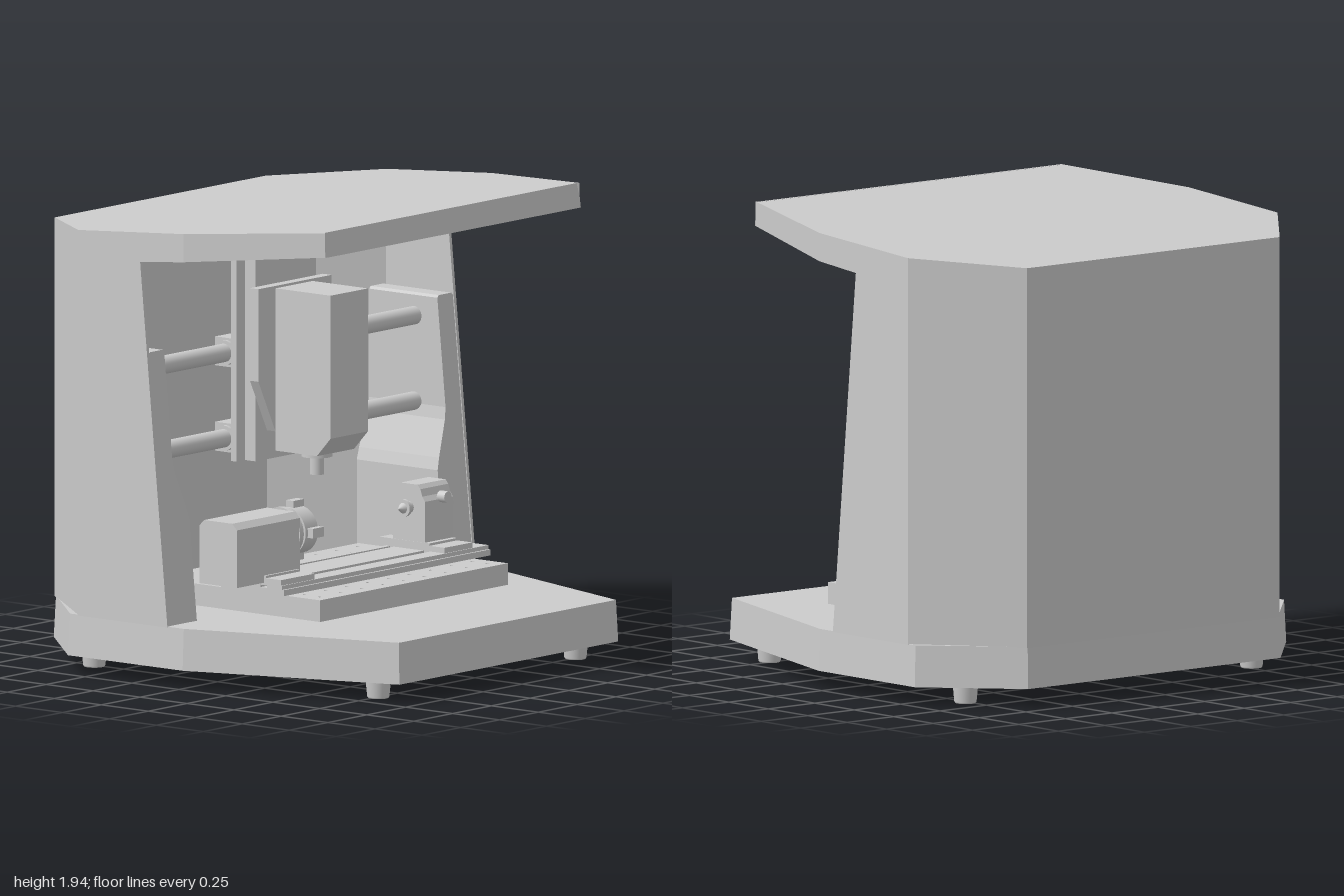
import * as THREE from 'three';

const mat = new THREE.MeshStandardMaterial({ color: 0xcccccc, side: THREE.DoubleSide });

export function createModel() {
  const root = new THREE.Group();

  function add(name, geo, x = 0, y = 0, z = 0) {
    const m = new THREE.Mesh(geo, mat);
    m.name = name;
    m.position.set(x, y, z);
    root.add(m);
    return m;
  }
  // Box given by its limits
  const box = (name, x0, x1, y0, y1, z0, z1) =>
    add(name, new THREE.BoxGeometry(x1 - x0, y1 - y0, z1 - z0),
      (x0 + x1) / 2, (y0 + y1) / 2, (z0 + z1) / 2);
  // Round bar along x, from x0 (radius r0) to x1 (radius r1)
  const barX = (name, x0, x1, y, z, r0, r1 = r0) =>
    add(name, new THREE.CylinderGeometry(r1, r0, x1 - x0, 32).rotateZ(-Math.PI / 2), (x0 + x1) / 2, y, z);
  // Round bar along y
  const barY = (name, y0, y1, x, z, r0, r1 = r0) =>
    add(name, new THREE.CylinderGeometry(r1, r0, y1 - y0, 32), x, (y0 + y1) / 2, z);
  // Plan outline [x, z] raised between two heights that may depend on z
  function prism(name, plan, lo, hi, { holes = [], r = 0.008, warp } = {}) {
    const s = new THREE.Shape(plan.map(([x, z]) => new THREE.Vector2(x, -z)));
    for (const [x, z] of holes) s.holes.push(new THREE.Path().absarc(x, -z, r, 0, Math.PI * 2, true));
    const g = new THREE.ExtrudeGeometry(s, { depth: 1, bevelEnabled: false, curveSegments: 4 }).rotateX(-Math.PI / 2);
    const p = g.attributes.position, v = new THREE.Vector3();
    for (let i = 0; i < p.count; i++) {
      v.fromBufferAttribute(p, i);
      const top = v.y > 0.5;
      v.y = top ? hi(v.z) : lo(v.z);
      if (warp) warp(v, top);
      p.setXYZ(i, v.x, v.y, v.z);
    }
    g.computeVertexNormals();
    return add(name, g);
  }
  // Side profile [z, y] extruded along x
  function profileX(name, pts, x0, x1) {
    const s = new THREE.Shape(pts.map(([z, y]) => new THREE.Vector2(-z, y)));
    const g = new THREE.ExtrudeGeometry(s, { depth: x1 - x0, bevelEnabled: false }).rotateY(Math.PI / 2);
    return add(name, g, x0);
  }
  // Front profile [x, y] extruded along z
  const profileZ = (name, pts, z0, z1) => add(name, new THREE.ExtrudeGeometry(
    new THREE.Shape(pts.map(([x, y]) => new THREE.Vector2(x, y))), { depth: z1 - z0, bevelEnabled: false }), 0, 0, z0);
  const mirrorPlan = half => [...half, ...half.map(([x, z]) => [-x, z]).reverse()];

  const c = y => () => y;
  const roofTop = z => 1.94 - (0.62 - z) * 0.0745;
  const skirtLow = z => 1.755 + (z + 0.21) * 0.1;
  const frontEdge = y => -0.065 - (y - 0.25) * 0.0965;

  // Base with a slight draft
  prism('base', mirrorPlan([[0.68, -0.93], [1, -0.59], [1, 0.02], [0.705, 0.93]]), c(0.08), c(0.253),
    { warp: (v, top) => { if (top) { v.x *= 0.992; v.z *= 0.992; } } });
  for (const s of [-1, 1])
    for (const [x, z] of [[0.635, 0.76], [0.77, -0.64]]) {
      const profile = [[0, 0.02], [0.018, 0.02], [0.018, 0], [0.042, 0], [0.046, 0.006], [0.053, 0.08]];
      add('foot', new THREE.LatheGeometry(profile.map(q => new THREE.Vector2(...q)), 24), s * x, 0, z);
    }

  // Thin cabinet walls
  const t = 0.985;
  const strip = (a, b) => [a, b, [b[0] * t, b[1] * t], [a[0] * t, a[1] * t]];
  const A = [0.68, -0.925], B = [0.995, -0.54], C = [0.995, 0.02], D = [0.82, 0.63];
  const flip = ([x, z], s) => [x * s, z];
  prism('backWall', strip(A, [-0.68, -0.925]), c(0.25), roofTop);
  for (const s of [-1, 1]) {
    prism('cornerWall', strip(flip(A, s), flip(B, s)), c(0.25), roofTop);
    prism('sideWall', [[s * 0.995, -0.54], [s * 0.995, -0.1], [s * 0.98, -0.1], [s * 0.98, -0.54]], c(0.25), c(1.76),
      { warp: (v, top) => { if (v.z > -0.3) v.z = frontEdge(v.y); else if (top) v.y = roofTop(v.z); } });
    prism('roofSkirt', [[s * 0.995, -0.54], [s * 0.995, 0.02], [s * 0.98, 0.02], [s * 0.98, -0.54]], skirtLow, roofTop);
    prism('roofSkirtFront', strip(flip(C, s), flip(D, s)), skirtLow, roofTop);
  }
  prism('roofLip', strip(D, [-0.82, 0.63]), skirtLow, roofTop,
    { warp: (v, top) => { v.z += top ? -0.008 : 0.006; } });
  prism('roof', mirrorPlan([A, B, C, [0.82, 0.622]]), z => roofTop(z) - 0.015, roofTop);

  // Inner side supports, front face following the sloped wall edge
  for (const s of [-1, 1]) {
    const m = profileZ('sideSupport', [[0.98, 0.25], [0.8, 0.25], [0.8, 0.67], [0.815, 0.72], [0.87, 0.87],
      [0.88, 0.92], [0.88, 1.37], [0.89, 1.38], [0.97, 1.38], [0.98, 1.37]].map(q => flip(q, s)), 0, 1);
    const p = m.geometry.attributes.position;
    for (let i = 0; i < p.count; i++) p.setZ(i, p.getZ(i) > 0.5 ? frontEdge(p.getY(i)) - 0.004 : -0.54);
    m.geometry.computeVertexNormals();
  }

  // Cross rails and carriage
  for (const y of [1.285, 0.93]) {
    barX('crossRail', -0.885, 0.885, y, -0.3, 0.038);
    box('railBearing', -0.33, 0.13, y - 0.06, y + 0.06, -0.36, -0.26);
    barX('bearingRing', -0.345, 0.145, y, -0.3, 0.052);
  }
  box('carriagePlate', -0.35, 0.155, 0.84, 1.77, -0.26, -0.23);
  box('verticalSlide', -0.295, 0.097, 0.84, 1.77, -0.23, -0.175);
  profileZ('headPlate', [[-0.33, 1.565], [-0.33, 1.18], [-0.22, 0.96], [0.02, 0.96], [0.14, 1.18], [0.14, 1.565]], -0.175, -0.13);

  // Spindle head
  profileX('spindleHead', [[-0.13, 0.88], [0.09, 0.88], [0.163, 0.96], [0.163, 1.555], [-0.13, 1.555]], -0.22, 0.02);
  barY('spindleCollar', 0.855, 0.885, -0.098, -0.01, 0.064);
  barY('spindleTool', 0.78, 0.86, -0.098, -0.01, 0.029);

  // Work table with a hole grid
  const holes = [];
  for (const z of [0.37, 0.29, -0.14, -0.24, -0.32])
    for (let i = -4; i <= 4; i++) holes.push([i * 0.135, z]);
  prism('workTable', [[-0.605, 0.425], [0.605, 0.425], [0.605, -0.37], [-0.605, -0.37]], c(0.275), c(0.365), { holes });
  box('tablePedestal', -0.5, 0.5, 0.25, 0.28, -0.34, 0.3);
  box('toolSensor', 0.62, 0.69, 0.25, 0.4, -0.27, -0.2);

  // Rotary axis bed
  box('axisBed', -0.62, 0.71, 0.365, 0.39, -0.09, 0.245);
  for (const z of [[0.155, 0.235], [-0.04, 0.12], [-0.085, -0.06]])
    box('axisBedRib', -0.62, 0.71, 0.385, 0.407, z[0], z[1]);

  // Headstock and tailstock share one body profile
  const ay = 0.58, az = 0.04;
  const body = low => [[0.125, low], [0.125, 0.61], [0.11, 0.63], [0.1, 0.66], [0.085, 0.677], [-0.005, 0.677],
    [-0.02, 0.66], [-0.03, 0.63], [-0.045, 0.61], [-0.045, low]];
  profileX('headstock', [[0.14, 0.41], [0.14, 0.65], [0.115, 0.675], [-0.035, 0.675], [-0.06, 0.65], [-0.06, 0.41]], -0.795, -0.39);
  profileX('tailstock', body(0.43), 0.435, 0.615);
  for (const [x0, x1] of [[-0.62, -0.405], [0.433, 0.612]]) {
    box('stockFoot', x0, x1, 0.4, 0.44, -0.072, 0.15);
    box('footClamp', x0, x1, 0.4, 0.43, 0.15, 0.23);
  }

  // Four-jaw chuck
  barX('chuckFlange', -0.395, -0.37, ay, az, 0.105);
  barX('chuckNeck', -0.37, -0.35, ay, az, 0.085);
  barX('chuckBody', -0.35, -0.27, ay, az, 0.098);
  for (let i = 0; i < 4; i++) {
    const jaw = new THREE.Group();
    jaw.name = 'chuckJaw';
    for (const [x0, x1, r0, r1] of [[-0.335, -0.265, 0.05, 0.125], [-0.27, -0.245, 0.035, 0.085], [-0.25, -0.225, 0.02, 0.045]]) {
      const step = box('jawStep', x0, x1, r0, r1, -0.02, 0.02);
      jaw.add(step);
    }
    jaw.position.set(0, ay, az);
    jaw.rotation.x = i * Math.PI / 2;
    root.add(jaw);
  }

  // Tailstock centre, handwheel and locking knob
  barX('centreSleeve', 0.405, 0.44, ay, az, 0.025);
  barX('centreNut', 0.395, 0.41, ay, az, 0.036);
  barX('centrePoint', 0.365, 0.395, ay, az, 0.002, 0.022);
  barX('wheelShaft', 0.61, 0.675, ay, az, 0.016);
  barX('handwheel', 0.635, 0.66, ay, az, 0.05);
  barX('wheelHandle', 0.655, 0.68, ay + 0.035, az, 0.01);
  add('lockKnob', new THREE.CylinderGeometry(0.024, 0.024, 0.04, 24).rotateX(Math.PI / 2), 0.54, 0.62, 0.14);

  return root;
}
